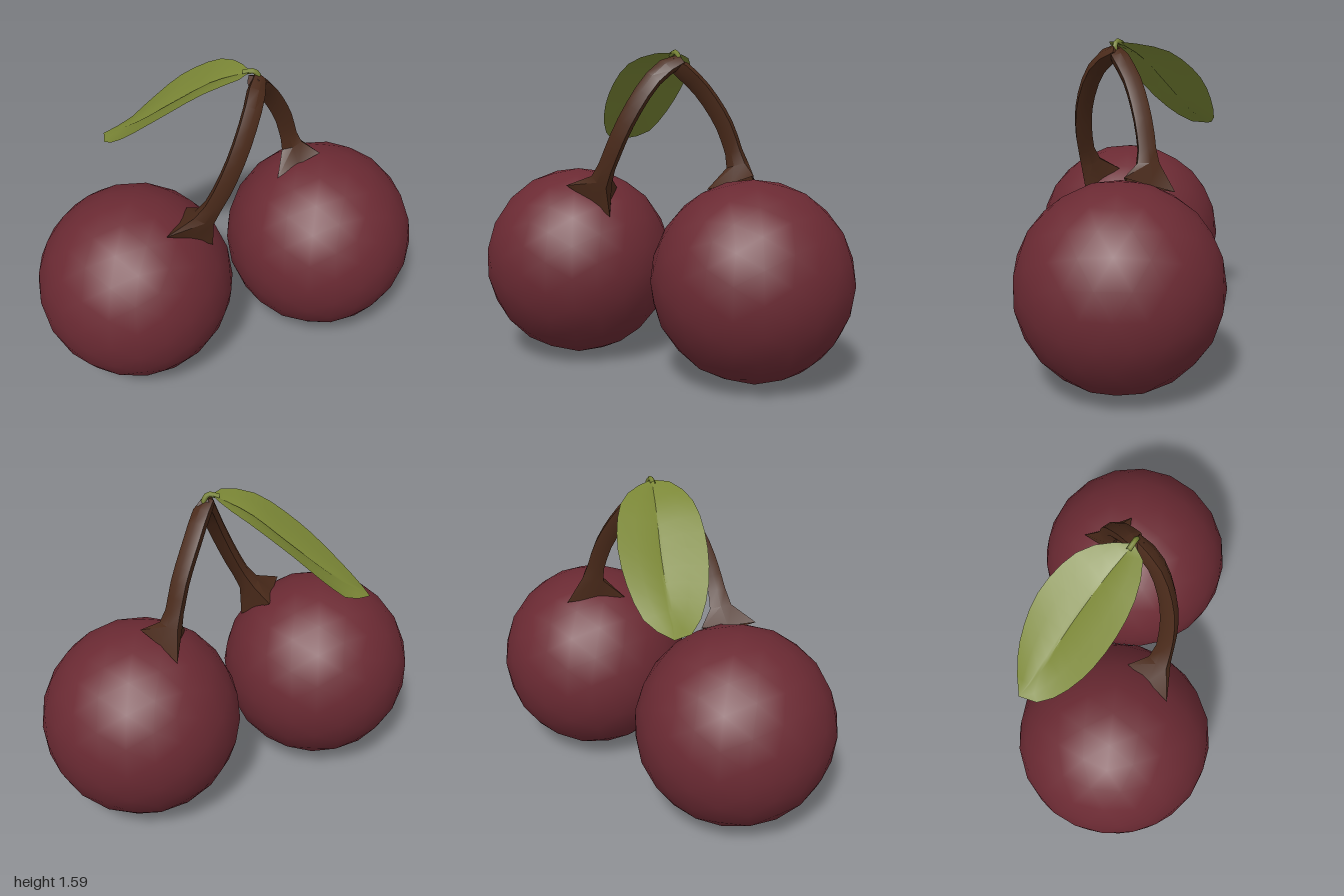
import * as THREE from 'three';
import { toCreasedNormals } from 'three/addons/utils/BufferGeometryUtils.js';

const V = (p) => new THREE.Vector3(...p);
const curve = (pts) => new THREE.CatmullRomCurve3(pts.map(V));

// Skin a list of equal-length point rows; closed rows wrap round.
function skin(rows, closed) {
  const n = rows[0].length, index = [];
  for (let i = 0; i < rows.length - 1; i++) {
    for (let j = 0; j < (closed ? n : n - 1); j++) {
      const k = (j + 1) % n;
      const a = i * n + j, b = i * n + k, c = a + n, d = b + n;
      index.push(a, b, d, a, d, c);
    }
  }
  const g = new THREE.BufferGeometry().setFromPoints(rows.flat());
  g.setIndex(index);
  g.computeVertexNormals();
  return g;
}

// Stem: six-sided ribbed tube whose foot spreads into three pointed corners.
function stemGeometry(corners, path) {
  const c = corners.map(V);
  const foot = c[0].clone().add(c[1]).add(c[2]).divideScalar(3);
  const rows = [[]];
  for (let k = 0; k < 6; k++) {
    const a = c[k >> 1];
    rows[0].push(k % 2 ? a.clone().lerp(c[((k >> 1) + 1) % 3], 0.5).lerp(foot, 0.15) : a.clone());
  }
  const line = curve(path), steps = 9, u = c[0].clone().sub(foot);
  for (let i = 0; i <= steps; i++) {
    const t = line.getTangentAt(i / steps), p = line.getPointAt(i / steps);
    u.addScaledVector(t, -u.dot(t)).normalize();
    const v = t.clone().cross(u);
    const s = i === 0 ? 1.25 : i === steps ? 0.7 : 1;
    rows.push([0, 1, 2, 3, 4, 5].map((k) => {
      const r = (k % 2 ? 0.037 : 0.05) * s, a = k * Math.PI / 3;
      return p.clone().addScaledVector(u, r * Math.cos(a)).addScaledVector(v, r * Math.sin(a));
    }));
  }
  rows.push(rows[rows.length - 1].map(() => V(path[path.length - 1])));
  return toCreasedNormals(skin(rows, true), 0.6);
}

// Leaf: two edge curves and a lowered midrib with a narrow groove.
function leafGeometry() {
  const backEdge = curve([[0.09, 1.58, 0.03], [0.085, 1.565, -0.1], [0.04, 1.53, -0.22], [-0.1, 1.4, -0.37],
    [-0.25, 1.25, -0.44], [-0.37, 1.15, -0.455], [-0.51, 1.115, -0.43]]);
  const frontEdge = curve([[0.09, 1.58, 0.03], [0.03, 1.58, 0.073], [-0.15, 1.53, 0.06], [-0.35, 1.37, -0.05],
    [-0.48, 1.21, -0.2], [-0.53, 1.12, -0.34], [-0.51, 1.115, -0.43]]);
  const rib = curve([[0.09, 1.58, 0.03], [-0.05, 1.5, -0.08], [-0.2, 1.36, -0.2], [-0.38, 1.2, -0.33], [-0.51, 1.115, -0.43]]);
  const up = V([0.45, 0.75, 0.35]).normalize(), rows = [];
  for (let i = 0; i <= 12; i++) {
    const t = i / 12, r = rib.getPointAt(t), bulge = Math.sin(Math.PI * t);
    const side = (edge, f, h) => r.clone().lerp(edge, f).addScaledVector(up, h * bulge);
    const b = backEdge.getPointAt(t), f = frontEdge.getPointAt(t);
    rows.push([b, side(b, 0.55, 0.015), side(b, 0.07, 0.012), r,
      side(f, 0.07, 0.012), side(f, 0.55, 0.015), f]);
  }
  return toCreasedNormals(skin(rows, false), 0.7);
}

export function createModel() {
  const model = new THREE.Group();
  const mat = (color) => new THREE.MeshStandardMaterial({ color, side: THREE.DoubleSide });
  const red = mat(0x6b2a33), brown = mat(0x4a2a1a), green = mat(0x7b8736);
  const add = (name, geometry, material) => {
    const m = new THREE.Mesh(geometry, material);
    m.name = name;
    model.add(m);
    return m;
  };

  // Round fruits
  for (const [name, x] of [['leftFruit', 0.51], ['rightFruit', -0.51]]) {
    add(name, new THREE.IcosahedronGeometry(0.49, 3), red).position.set(x, 0.495, 0);
  }

  // Stems meeting at the top
  add('leftStem', stemGeometry(
    [[0.42, 0.92, -0.25], [0.26, 0.92, 0], [0.5, 1.0, -0.02]],
    [[0.375, 1.04, -0.115], [0.35, 1.12, -0.11], [0.31, 1.24, -0.09], [0.22, 1.4, -0.04], [0.14, 1.5, 0.02], [0.09, 1.54, 0.05]]), brown);
  add('rightStem', stemGeometry(
    [[-0.24, 0.905, 0.04], [-0.41, 0.925, 0.245], [-0.17, 0.78, 0.21]],
    [[-0.215, 0.955, 0.2], [-0.16, 1.05, 0.22], [-0.06, 1.25, 0.215], [0.04, 1.44, 0.15], [0.09, 1.51, 0.085], [0.13, 1.54, 0.03]]), brown);

  // Leaf and its short stalk
  add('leaf', leafGeometry(), green);
  add('leafStalk', new THREE.TubeGeometry(
    curve([[0.125, 1.52, 0.04], [0.125, 1.555, 0.04], [0.105, 1.582, 0.035], [0.06, 1.572, 0.01]]), 8, 0.013, 5), green);
  return model;
}
